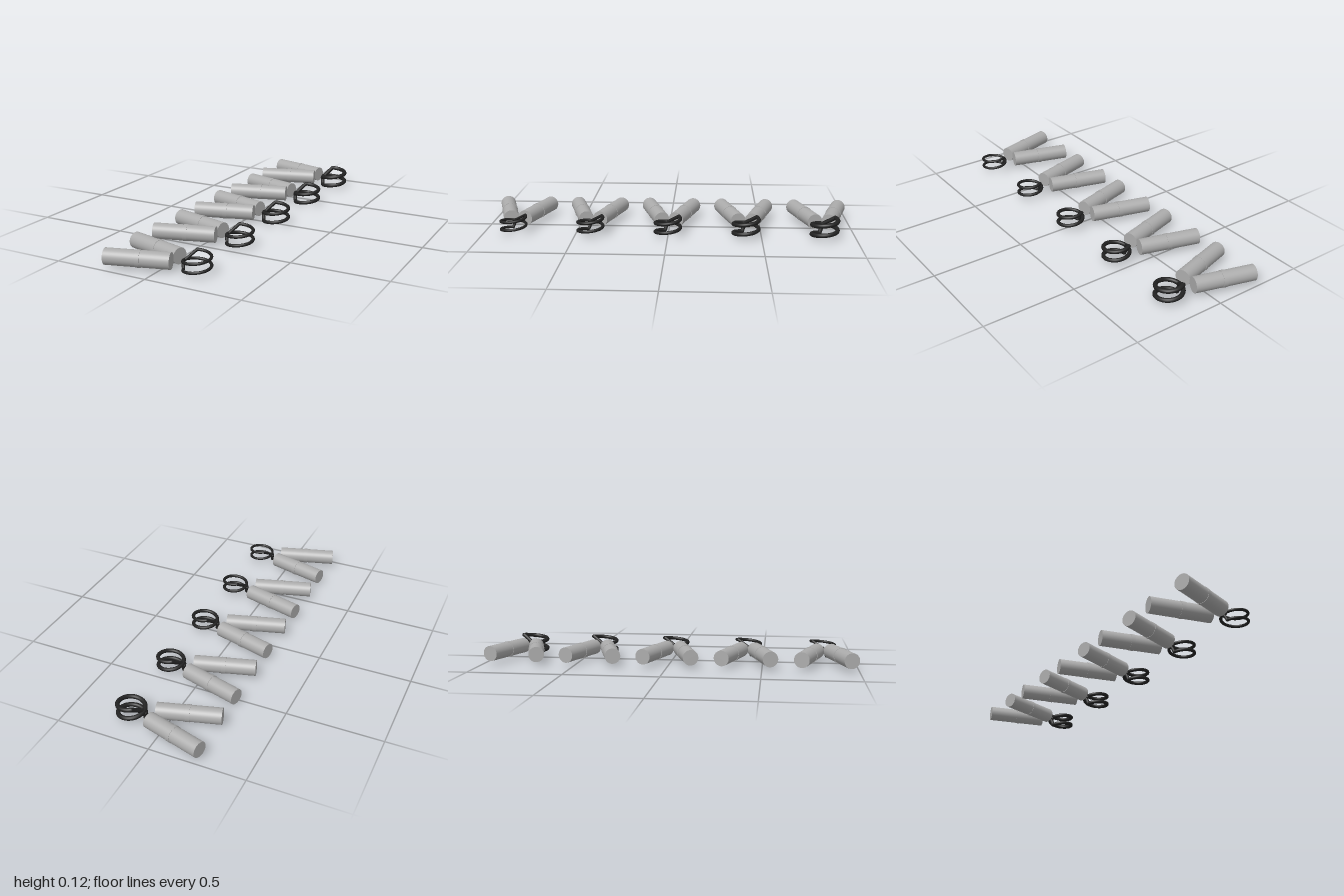
import * as THREE from 'three';

const grey = new THREE.MeshStandardMaterial({ color: 0xacacac });
grey.name = 'handleGrey';
const black = new THREE.MeshStandardMaterial({ color: 0x222222 });
black.name = 'springBlack';

const HANDLE_Y = 0.0625;

function addMesh(parent, name, geometry, material) {
  const mesh = new THREE.Mesh(geometry, material);
  mesh.name = name;
  parent.add(mesh);
  return mesh;
}

// Cylindrical grip with a raised band, side = +1 (front) or -1 (back)
function makeHandle(side) {
  const handle = new THREE.Group();
  handle.name = side > 0 ? 'frontHandle' : 'backHandle';
  addMesh(handle, 'grip', new THREE.CylinderGeometry(0.0415, 0.0415, 0.325, 40), grey);
  addMesh(handle, 'band', new THREE.CylinderGeometry(0.0435, 0.0435, 0.022, 40), grey)
    .position.y = 0.006;
  const axis = new THREE.Vector3(0.3125, 0, -0.09 * side).normalize();
  handle.quaternion.setFromUnitVectors(new THREE.Vector3(0, 1, 0), axis);
  handle.position.set(-0.094, HANDLE_Y, 0.083 * side);
  return handle;
}

// Two-turn coil with a straight leg at each end; wire thickness sets the strength
function makeSpring(wire, pitch) {
  const spring = new THREE.Group();
  spring.name = 'spring';
  const coilPoint = (deg) => {
    const a = THREE.MathUtils.degToRad(deg);
    return new THREE.Vector3(
      0.18 - 0.067 * Math.cos(a),
      0.067 + pitch * (deg / 360 - 1),
      0.067 * Math.sin(a));
  };
  const START = 15, END = 660;
  const points = [];
  for (let i = 0; i <= 60; i++) points.push(coilPoint(START + (END - START) * i / 60));
  addMesh(spring, 'coil',
    new THREE.TubeGeometry(new THREE.CatmullRomCurve3(points), 150, wire, 12), black);

  const legs = [
    ['lowerLeg', coilPoint(START), new THREE.Vector3(0.107, 0.056, 0.006)],
    ['upperLeg', coilPoint(END), new THREE.Vector3(0.110, 0.060, 0.014)],
  ];
  for (const [name, from, to] of legs) {
    addMesh(spring, name,
      new THREE.TubeGeometry(new THREE.LineCurve3(from, to), 1, wire, 12), black);
    // Rounded corner and tip
    for (const p of [from, to]) {
      addMesh(spring, name + 'Joint', new THREE.SphereGeometry(wire, 12, 8), black)
        .position.copy(p);
    }
  }
  return spring;
}

export function createModel() {
  const model = new THREE.Group();
  model.name = 'handGripperSet';
  // Row of five grippers, wire growing thicker towards the back
  for (let i = 0; i < 5; i++) {
    const gripper = new THREE.Group();
    gripper.name = 'gripper' + (i + 1);
    gripper.add(makeHandle(1), makeHandle(-1));
    gripper.add(makeSpring(0.0075 + 0.001 * i, 0.044 + 0.002 * i));
    gripper.position.z = 0.8325 - 0.41625 * i;
    model.add(gripper);
  }
  return model;
}
